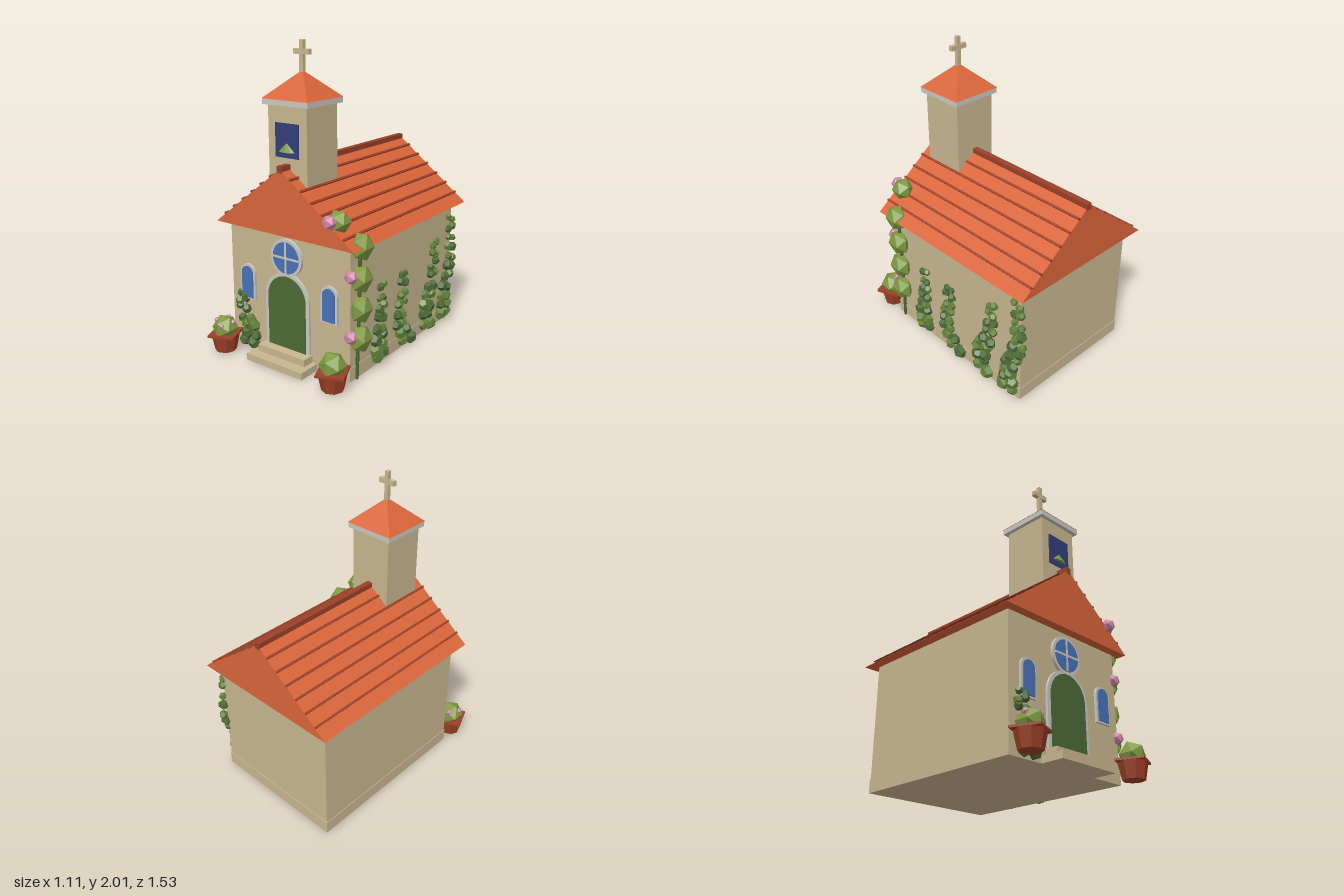
import * as THREE from 'three';

const mat = (name, color) => Object.assign(new THREE.MeshStandardMaterial({ color }), { name });
const M = {
  stucco: mat('stucco', 0xc8b690), stone: mat('pale stone', 0xcbc8c0), roof: mat('roof tile', 0xd9653a),
  clay: mat('dark terracotta', 0x9c4128), door: mat('deep green', 0x4c6a36), ivy: mat('ivy green', 0x62803a),
  leaf: mat('olive leaf', 0x809a42), glass: mat('blue glass', 0x4a72b8), night: mat('navy', 0x323f78),
  pink: mat('pink blossom', 0xcf86a8),
};

// small seeded generator for the foliage
let seed = 7;
const rnd = () => ((seed = (seed * 16807) % 2147483647) / 2147483647);

export function createModel() {
  const root = new THREE.Group();
  root.name = 'chapel';

  const add = (name, geo, m, x = 0, y = 0, z = 0, parent = root) => {
    const mesh = new THREE.Mesh(geo, m);
    mesh.name = name;
    mesh.position.set(x, y, z);
    parent.add(mesh);
    return mesh;
  };
  // box given by its limits
  const box = (name, m, x0, x1, y0, y1, z0, z1) =>
    add(name, new THREE.BoxGeometry(x1 - x0, y1 - y0, z1 - z0), m, (x0 + x1) / 2, (y0 + y1) / 2, (z0 + z1) / 2);
  const extrude = (shape, depth) =>
    new THREE.ExtrudeGeometry(shape, { depth, bevelEnabled: false, curveSegments: 8 });
  // round-headed outline of half width w
  const arch = (w, y0, spring) => {
    const s = new THREE.Shape();
    s.moveTo(-w, y0);
    s.lineTo(w, y0);
    s.lineTo(w, spring);
    s.absarc(0, spring, w, 0, Math.PI, false);
    return s;
  };
  const group = (name) => {
    const g = new THREE.Group();
    g.name = name;
    root.add(g);
    return g;
  };

  // nave walls and plinth
  box('walls', M.stucco, -0.472, 0.472, 0.08, 0.85, -0.697, 0.52);
  box('plinth', M.stucco, -0.476, 0.476, 0, 0.088, -0.701, 0.524);

  // gabled roof with ridge cap and tile ribs
  const gable = new THREE.Shape([[-0.54, 0.847], [0.54, 0.847], [0, 1.26]].map(p => new THREE.Vector2(...p)));
  add('roof', extrude(gable, 1.345), M.roof, 0, 0, -0.765);
  box('ridgeCap', M.clay, -0.019, 0.019, 1.235, 1.278, -0.768, 0.583);
  const slope = Math.atan2(0.413, 0.54);
  for (const side of [-1, 1]) {
    for (let i = 1; i <= 6; i++) {
      const x = 0.077 * i;
      const rib = add('roofRib', new THREE.BoxGeometry(0.014, 0.02, 1.345), M.clay,
        side * x, 1.262 - x * 0.765, -0.0925);
      rib.rotation.z = -side * slope;
    }
  }

  // bell tower
  const tz = 0.355;
  box('tower', M.stucco, -0.147, 0.147, 0.95, 1.63, tz - 0.148, tz + 0.148);
  box('towerCornice', M.stone, -0.172, 0.172, 1.625, 1.66, tz - 0.172, tz + 0.172);
  const spire = add('towerRoof', new THREE.ConeGeometry(0.175 * Math.SQRT2, 0.163, 4, 1).toNonIndexed(), M.roof, 0, 1.741, tz);
  spire.geometry.computeVertexNormals();
  spire.rotation.y = Math.PI / 4;
  box('crossPost', M.stucco, -0.014, 0.014, 1.8, 2, tz - 0.013, tz + 0.013);
  box('crossArm', M.stucco, -0.06, 0.06, 1.915, 1.947, tz - 0.0135, tz + 0.0135);
  box('belfryOpening', M.night, -0.088, 0.088, 1.315, 1.522, 0.502, 0.511);
  const bell = add('bell', new THREE.ConeGeometry(0.062, 0.055, 8, 1).toNonIndexed(), M.leaf, 0, 1.378, 0.51);
  bell.geometry.computeVertexNormals();
  bell.scale.z = 0.4;

  // steps
  box('lowerStep', M.stucco, -0.225, 0.225, 0, 0.045, 0.5, 0.677);
  box('upperStep', M.stucco, -0.188, 0.188, 0.045, 0.09, 0.5, 0.605);

  // double door
  add('doorFrame', extrude(arch(0.175, 0.088, 0.42), 0.016), M.stone, 0, 0, 0.52);
  for (const side of [-1, 1]) {
    const s = new THREE.Shape();
    s.moveTo(0, 0.09);
    s.lineTo(side * 0.149, 0.09);
    s.lineTo(side * 0.149, 0.422);
    s.absarc(0, 0.422, 0.149, side > 0 ? 0 : Math.PI, Math.PI / 2, side < 0);
    add('doorLeaf', extrude(s, 0.005), M.door, 0, 0, 0.536);
  }

  // round window above the door
  const disc = (r) => new THREE.CylinderGeometry(r, r, 1, 24).rotateX(Math.PI / 2);
  add('roseFrame', disc(0.122), M.stone, 0, 0.693, 0.529).scale.z = 0.018;
  add('roseGlass', disc(0.102), M.glass, 0, 0.693, 0.54).scale.z = 0.005;
  box('roseBar', M.stone, -0.007, 0.007, 0.592, 0.794, 0.538, 0.545);
  box('roseBar', M.stone, -0.102, 0.102, 0.686, 0.7, 0.538, 0.545);

  // arched side windows
  for (const x of [-0.327, 0.327]) {
    add('windowFrame', extrude(arch(0.062, 0.346, 0.523), 0.016), M.stone, x, 0, 0.52);
    add('windowGlass', extrude(arch(0.046, 0.358, 0.524), 0.007), M.glass, x, 0, 0.536);
  }

  // foliage balls
  const ball = new THREE.IcosahedronGeometry(1, 0);
  const clump = new THREE.DodecahedronGeometry(1, 0);

  // potted plants
  const potProfile = [[0, 0], [0.07, 0], [0.093, 0.112], [0, 0.112]].map(p => new THREE.Vector2(...p));
  for (const side of [-1, 1]) {
    const g = group(side > 0 ? 'leftPot' : 'rightPot');
    g.position.set(side * 0.438, 0, 0.647);
    const body = new THREE.LatheGeometry(potProfile, 8).toNonIndexed();
    body.computeVertexNormals();
    add('potBody', body, M.clay, 0, 0.002, 0, g);
    const rim = add('potRim', new THREE.BoxGeometry(0.176, 0.014, 0.176), M.clay, 0, 0.115, 0, g);
    rim.rotation.y = Math.PI / 8;
    add('potPlant', ball, M.leaf, 0, 0.155, 0, g).scale.setScalar(0.086);
    if (side < 0) {
      for (const [x, y, z] of [[-0.02, 0.2, -0.05], [-0.055, 0.195, 0.015], [0.05, 0.195, -0.02], [0.02, 0.185, 0.052]]) {
        add('potBlossom', ball, M.pink, x, y, z, g).scale.setScalar(0.021);
      }
    }
  }

  // climbing shrub at the front corner, with blossoms
  const climber = group('climber');
  const stem = new THREE.CatmullRomCurve3([[0.482, 0, 0.46], [0.485, 0.45, 0.445], [0.49, 0.83, 0.445]]
    .map(p => new THREE.Vector3(...p)));
  add('climberStem', new THREE.TubeGeometry(stem, 6, 0.012, 5), M.door, 0, 0, 0, climber);
  for (const [x, y, z] of [[0.495, 0.265, 0.445], [0.495, 0.455, 0.445], [0.495, 0.645, 0.445], [0.5, 0.845, 0.445]]) {
    add('climberLeaves', ball, M.leaf, x, y, z, climber).scale.set(0.068, 0.092, 0.088);
  }
  add('climberTop', ball, M.leaf, 0.385, 0.99, 0.512, climber).scale.set(0.073, 0.076, 0.078);
  for (const [x, y, z] of [[0.37, 1, 0.585], [0.475, 0.67, 0.515], [0.475, 0.29, 0.515]]) {
    add('climberBlossom', ball, M.pink, x, y, z, climber).scale.setScalar(0.046);
  }

  // ivy of small clumps, tapering as it follows a centre line of [along, y]
  const ivy = (name, line, rows, place) => {
    const g = group(name);
    const path = new THREE.CatmullRomCurve3(line.map(([a, y]) => new THREE.Vector3(a, y, 0)));
    for (let i = 0; i < rows; i++) {
      const t = i / (rows - 1);
      const p = path.getPointAt(t);
      const r = 0.046 - 0.02 * t;
      for (const s of [-1, 1]) {
        const a = p.x + s * r * (0.6 + 0.5 * rnd());
        const y = Math.max(p.y + (rnd() - 0.5) * 0.04, r);
        const c = add('ivyClump', clump, rnd() < 0.5 ? M.door : M.ivy, ...place(a, y), g);
        c.scale.setScalar(r * (0.85 + 0.3 * rnd()));
        c.rotation.set(rnd() * 3, rnd() * 3, rnd() * 3);
      }
    }
  };
  const onSide = (a, y) => [0.482, y, a];
  ivy('sideIvy', [[0.2, 0.05], [0.23, 0.2], [0.2, 0.35], [0.2, 0.51]], 8, onSide);
  ivy('sideIvy', [[-0.1, 0.05], [-0.02, 0.2], [-0.04, 0.37], [-0.06, 0.53]], 8, onSide);
  ivy('sideIvy', [[-0.36, 0.05], [-0.36, 0.18], [-0.43, 0.38], [-0.45, 0.62]], 9, onSide);
  ivy('sideIvy', [[-0.6, 0.05], [-0.6, 0.2], [-0.68, 0.42], [-0.67, 0.74]], 11, onSide);
  ivy('frontIvy', [[-0.33, 0.05], [-0.31, 0.16], [-0.38, 0.27], [-0.38, 0.38]], 7, (a, y) => [a, y, 0.53]);

  return root;
}
